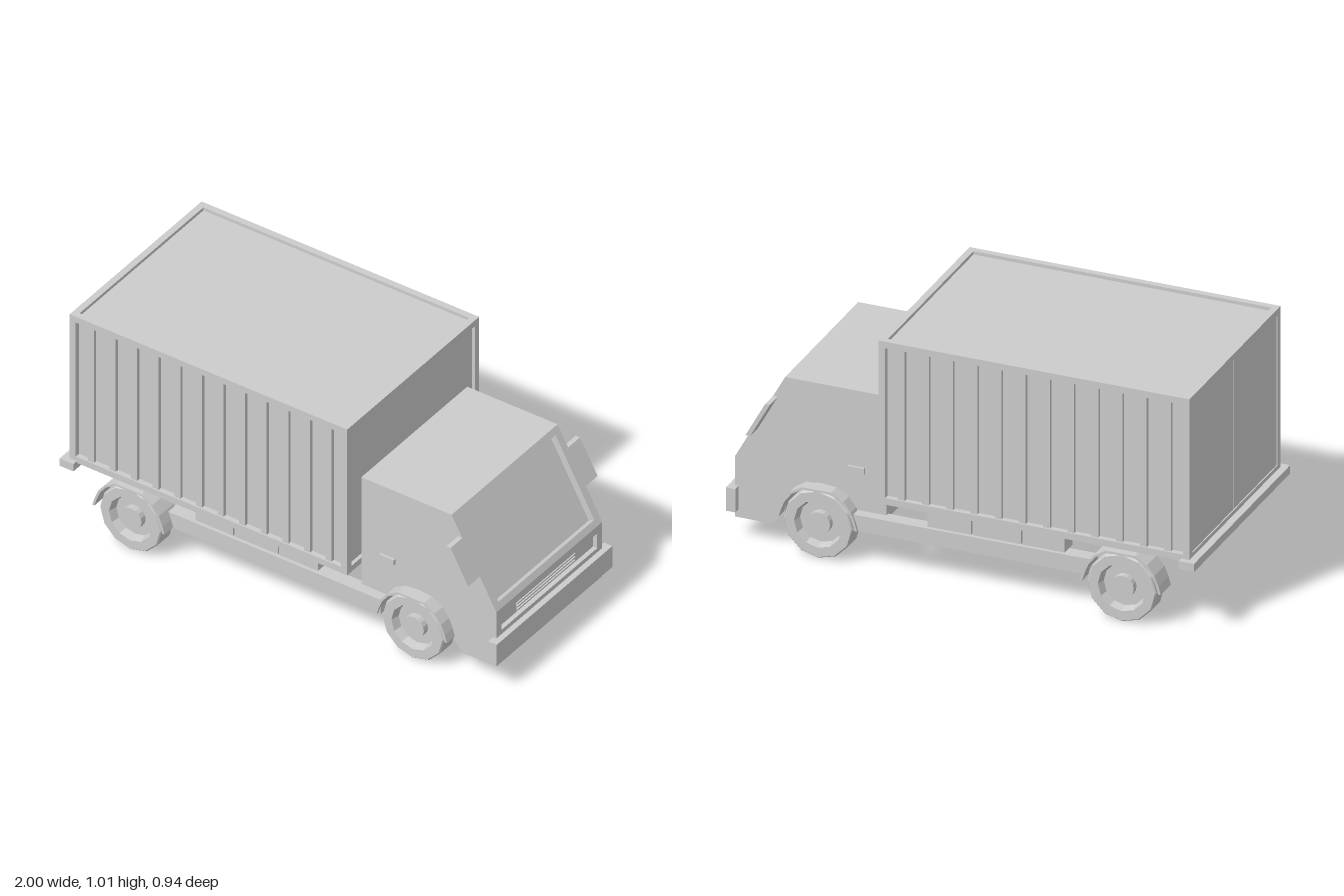
import * as THREE from 'three';

const material = new THREE.MeshStandardMaterial({ color: 0xcccccc, flatShading: true });

export function createModel() {
  const truck = new THREE.Group();

  const add = (name, geometry, parent = truck) => {
    const mesh = new THREE.Mesh(geometry, material);
    mesh.name = name;
    parent.add(mesh);
    return mesh;
  };
  // Box given by its limits on each axis
  const box = (name, [x0, x1], [y0, y1], [z0, z1], parent) => {
    const mesh = add(name, new THREE.BoxGeometry(x1 - x0, y1 - y0, z1 - z0), parent);
    mesh.position.set((x0 + x1) / 2, (y0 + y1) / 2, (z0 + z1) / 2);
    return mesh;
  };
  // Side-profile slab between two z values, with an optional hole
  const slab = (name, points, z0, z1, hole, parent) => {
    const toVectors = (list) => list.map(([x, y]) => new THREE.Vector2(x, y));
    const shape = new THREE.Shape(toVectors(points));
    if (hole) shape.holes.push(new THREE.Path(toVectors(hole)));
    const mesh = add(name, new THREE.ExtrudeGeometry(shape, { depth: z1 - z0, bevelEnabled: false }), parent);
    mesh.position.z = z0;
    return mesh;
  };
  // z range mirrored to the given side
  const range = (side, a, b) => (side > 0 ? [a, b] : [-b, -a]);

  // Cargo container: recessed body, edge beams, ribs and doors
  const container = new THREE.Group();
  container.name = 'container';
  truck.add(container);
  const X = [-0.97, 0.335], Y = [0.31, 1.01], Z = [-0.445, 0.445], t = 0.028;
  box('containerBody', [-0.955, 0.32], [0.318, 0.996], [-0.422, 0.422], container);
  const ends = ([a, b]) => [[a, a + t], [b - t, b]];
  for (const y of ends(Y)) for (const z of ends(Z)) box('longBeam', X, y, z, container);
  for (const x of ends(X)) for (const z of ends(Z)) box('cornerPost', x, [Y[0] + t, Y[1] - t], z, container);
  for (const x of ends(X)) for (const y of ends(Y)) box('crossBeam', x, y, [Z[0] + t, Z[1] - t], container);
  for (const side of [1, -1]) {
    for (let i = 0; i < 12; i++) {
      const x = -0.875 + i * 0.1016;
      box('sideRib', [x - 0.014, x + 0.014], [0.335, 0.985], range(side, 0.415, 0.438), container);
    }
    box('rearDoor', [-0.965, -0.95], [0.338, 0.982], range(side, 0.004, 0.417), container);
  }

  // Cab: core with windscreen and grille notches, then solid cheeks and pierced skins
  const cab = new THREE.Group();
  cab.name = 'cab';
  truck.add(cab);
  const arch = [];
  for (let i = 0; i <= 12; i++) {
    const a = Math.PI * i / 12;
    arch.push([0.61 + 0.155 * Math.cos(a), 0.15 + 0.155 * Math.sin(a)]);
  }
  const rearEdge = [...arch, [0.455, 0.2], [0.34, 0.2], [0.34, 0.73], [0.765, 0.73]].filter(([x, y]) => !(x < 0.46 && y < 0.19));
  const slant = (y, depth) => [0.765 + (0.73 - y) * 0.5526 - 0.875 * depth, y - 0.484 * depth];
  const sill = [[0.975, 0.09], [0.815, 0.09]];
  const silhouette = [...rearEdge, [0.975, 0.35], ...sill];
  slab('cabCore', [
    ...rearEdge, slant(0.705, 0), slant(0.705, 0.03), slant(0.375, 0.03), slant(0.375, 0),
    [0.975, 0.35], [0.975, 0.315], [0.945, 0.315], [0.945, 0.245], [0.975, 0.245], ...sill,
  ], -0.323, 0.323, null, cab);
  const sideWindow = [[0.42, 0.705], [0.752, 0.705], [0.935, 0.38], [0.63, 0.38], [0.52, 0.44], [0.42, 0.44]];
  for (const side of [1, -1]) {
    slab('cabCheek', silhouette, ...range(side, 0.323, 0.341), null, cab);
    slab('cabSideSkin', silhouette, ...range(side, 0.341, 0.357), sideWindow, cab);
    box('doorHandle', [0.43, 0.5], [0.38, 0.405], range(side, 0.355, 0.368), cab);
    // Thin mirror lying along the slope of the windscreen pillar
    slab('mirror', [[0.795, 0.64], [0.815, 0.64], [0.898, 0.49], [0.878, 0.49]],
      ...range(side, 0.35, 0.436), null, cab);
    // Headlamp with a slanted inner edge, facing forward
    const lamp = slab('headlamp', [[-0.32, 0.247], [-0.19, 0.247], [-0.205, 0.313], [-0.32, 0.313]]
      .map(([u, y]) => [u * side, y]), 0, 0.012, null, cab);
    lamp.rotation.y = Math.PI / 2;
    lamp.position.x = 0.945;
  }
  for (let i = 0; i < 4; i++) {
    const y = 0.254 + i * 0.015;
    box('grilleSlat', [0.943, 0.962], [y, y + 0.007], [-0.195, 0.195], cab);
  }

  // Bumpers
  box('frontBumper', [0.96, 1.0], [0.125, 0.225], [-0.39, 0.39]);
  box('rearBumper', [-1.0, -0.935], [0.285, 0.32], [-0.47, 0.47]);

  // Wheel profile: flat back, tread, sidewall and sunken rim
  const wheelProfile = [[0, 0], [0.14, 0], [0.145, 0.006], [0.145, 0.084], [0.14, 0.09],
    [0.1, 0.09], [0.09, 0.055], [0, 0.055]].map(([r, h]) => new THREE.Vector2(r, h));
  // Fender profile: thin arched strip with flared feet
  const half = [[0.17, 0.005], [0.16, 0.04], [0.143, 0.082], [0.112, 0.122], [0.062, 0.152]];
  const mirrored = (list) => [...list, ...list.map(([x, y]) => [-x, y]).reverse()];
  const inner = half.map(([x, y]) => [x * 0.94, y > 0.01 ? y * 0.94 : y]);
  const fenderProfile = [...mirrored(half), ...mirrored(inner).reverse()];

  for (const side of [1, -1]) {
    for (const [name, x, z] of [['front', 0.61, 0.308], ['rear', -0.685, 0.355]]) {
      const wheel = new THREE.Group();
      wheel.name = name + 'Wheel';
      wheel.position.set(x, 0.145, side * z);
      wheel.rotation.x = side * Math.PI / 2;
      truck.add(wheel);
      add('tyreAndRim', new THREE.LatheGeometry(wheelProfile, 12), wheel);
      add('hub', new THREE.CylinderGeometry(0.048, 0.048, 0.03, 16), wheel).position.y = 0.068;
      const fender = slab(name + 'Fender', fenderProfile, ...range(side, z + 0.003, z + 0.103));
      fender.position.x = x;
      fender.position.y = 0.147;
    }

    // Chassis rail with a row of storage boxes above it
    box('chassisRail', [-0.54, 0.46], [0.15, 0.218], range(side, 0.34, 0.4));
    for (const [x0, x1] of [[-0.42, -0.243], [-0.237, -0.033], [-0.027, 0.155]]) {
      box('storageBox', [x0, x1], [0.218, 0.318], range(side, 0.31, 0.385));
    }
  }
  return truck;
}
